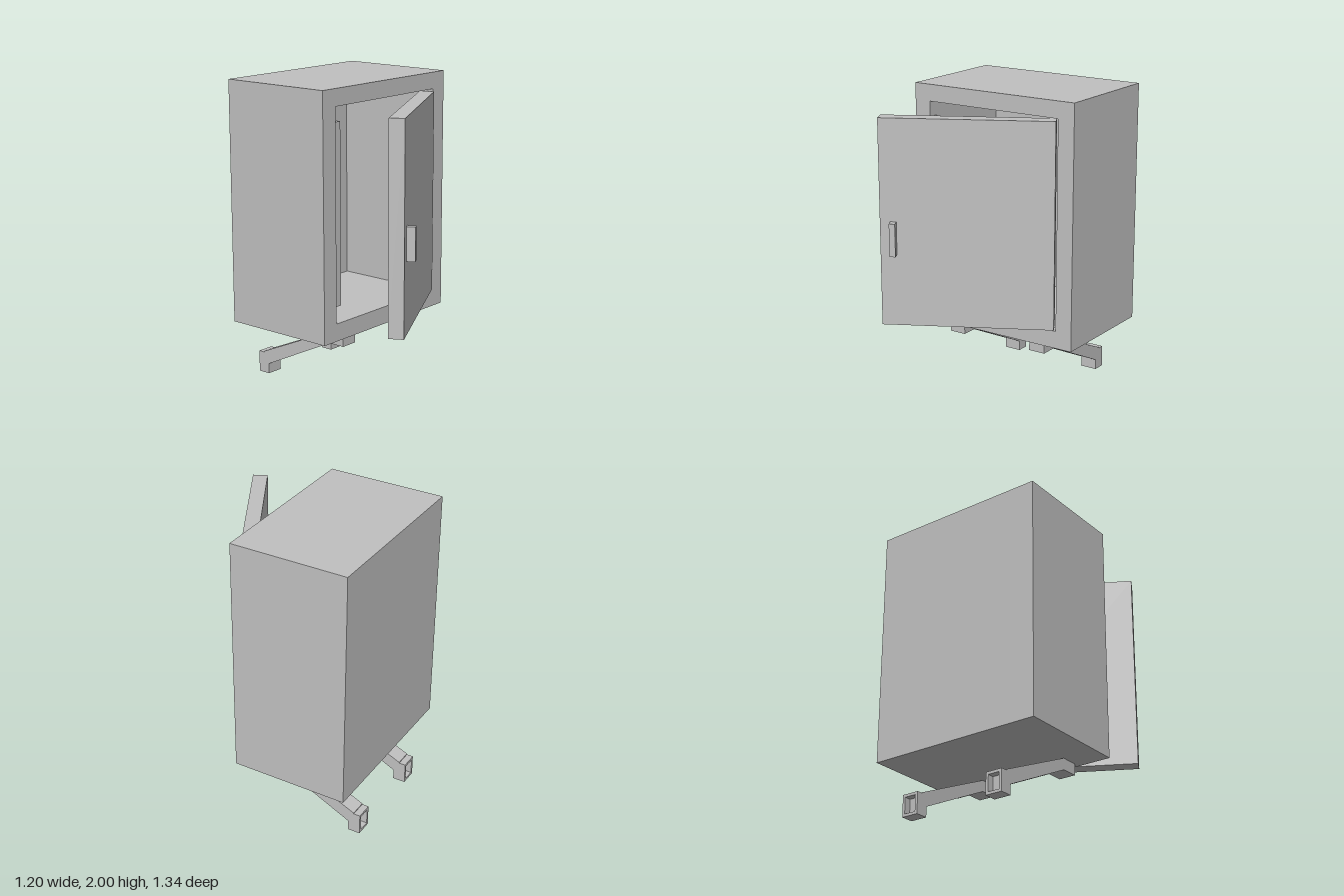
import * as THREE from 'three';

const grey = new THREE.MeshStandardMaterial({ color: 0xc0c0c0 });
grey.name = 'paleGrey';

function add(parent, name, geometry, x = 0, y = 0, z = 0) {
  const mesh = new THREE.Mesh(geometry, grey);
  mesh.name = name;
  mesh.position.set(x, y, z);
  parent.add(mesh);
  return mesh;
}

const polygon = (points) => new THREE.Shape(points.map(([x, y]) => new THREE.Vector2(x, y)));
const rectangle = (x0, y0, x1, y1) => [[x0, y0], [x1, y0], [x1, y1], [x0, y1]];

// Rectangular frame, extruded along z
function frame(outer, inner, depth) {
  const shape = polygon(rectangle(...outer));
  shape.holes.push(polygon(rectangle(...inner)));
  return new THREE.ExtrudeGeometry(shape, { depth, bevelEnabled: false });
}

// Slanted support with a mounting pad at the front and an open foot at the back
function supportLeg(x) {
  const leg = new THREE.Group();
  leg.name = x > 0 ? 'leftLeg' : 'rightLeg';
  leg.position.x = x;
  const width = 0.115;
  const profile = polygon([
    [0.07, 0.405], [0.07, 0.33], [-0.045, 0.33], [-0.59, 0.068],
    [-0.59, 0], [-0.63, 0], [-0.63, 0.148], [-0.05, 0.405],
  ]);
  const arm = new THREE.ExtrudeGeometry(profile, { depth: width, bevelEnabled: false });
  arm.translate(0, 0, -width / 2).rotateY(-Math.PI / 2);
  add(leg, 'legArm', arm);
  const w = width / 2;
  add(leg, 'footRim', frame([-w, 0, w, 0.142], [-w + 0.018, 0.018, w - 0.018, 0.124], 0.045), 0, 0, -0.675);
  return leg;
}

export function createModel() {
  const model = new THREE.Group();
  model.name = 'cabinet';

  // Hollow cabinet, open at the front
  const body = new THREE.Group();
  body.name = 'body';
  add(body, 'shell', frame([-0.6, 0.405, 0.6, 2], [-0.485, 0.52, 0.485, 1.89], 0.745), 0, 0, -0.63);
  add(body, 'backPanel', new THREE.BoxGeometry(1.2, 1.595, 0.045), 0, 1.2025, -0.6525);
  add(body, 'doorStop', new THREE.BoxGeometry(0.075, 1.17, 0.03), -0.45, 1.205, 0.075);
  model.add(body);

  // Door standing ajar, pivoting on its outer left edge
  const door = new THREE.Group();
  door.name = 'door';
  door.position.set(0.48, 0, 0.13);
  door.rotation.y = THREE.MathUtils.degToRad(28.3);
  add(door, 'doorPanel', new THREE.BoxGeometry(1.096, 1.345, 0.097), -0.548, 1.2025, -0.0485);
  add(door, 'doorHandle', new THREE.BoxGeometry(0.038, 0.215, 0.056), -1.011, 1.1075, 0.027);
  model.add(door);

  for (const x of [-0.315, 0.315]) model.add(supportLeg(x));
  return model;
}
